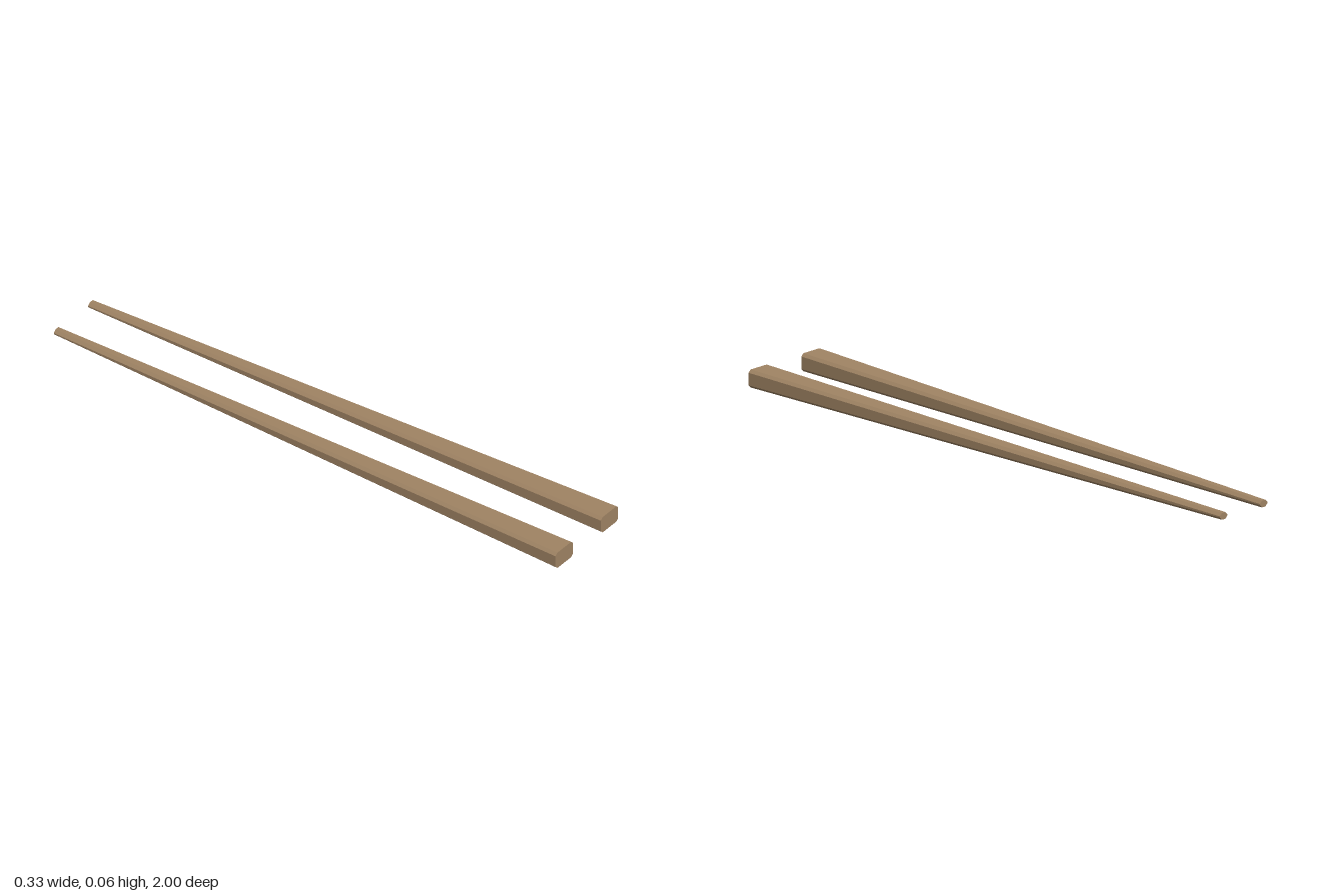
import * as THREE from 'three';

// Chamfered rectangle, counter-clockwise seen from +z
function section(x0, x1, y0, y1, c) {
  return [
    [x0 + c, y0], [x1 - c, y0], [x1, y0 + c], [x1, y1 - c],
    [x1 - c, y1], [x0 + c, y1], [x0, y1 - c], [x0, y0 + c],
  ];
}

// Straight loft between the thick handle end (z = 1) and the thin tip (z = -1)
function loftStick(side) {
  const place = (points, z) => {
    const ring = points.map(([x, y]) => [x * side, y, z]);
    return side < 0 ? ring.reverse() : ring;
  };
  const handle = place(section(0.073, 0.163, 0.006, 0.065, 0.009), 1);
  const tip = place(section(0.073, 0.106, 0, 0.022, 0.009), -1);
  const pos = [];
  const tri = (a, b, c) => pos.push(...a, ...b, ...c);
  const n = handle.length;
  for (let i = 0; i < n; i++) {
    const j = (i + 1) % n;
    tri(handle[i], tip[i], tip[j]);
    tri(handle[i], tip[j], handle[j]);
  }
  // End caps
  for (let i = 1; i < n - 1; i++) {
    tri(handle[0], handle[i], handle[i + 1]);
    tri(tip[0], tip[i + 1], tip[i]);
  }
  const geometry = new THREE.BufferGeometry();
  geometry.setAttribute('position', new THREE.Float32BufferAttribute(pos, 3));
  geometry.computeVertexNormals();
  return geometry;
}

export function createModel() {
  const group = new THREE.Group();
  group.name = 'chopsticks';
  const wood = new THREE.MeshStandardMaterial({ color: 0xa08464 });
  wood.name = 'wood';

  // Mirrored pair, inner edges parallel
  for (const [name, side] of [['leftChopstick', 1], ['rightChopstick', -1]]) {
    const stick = new THREE.Mesh(loftStick(side), wood);
    stick.name = name;
    group.add(stick);
  }
  return group;
}
